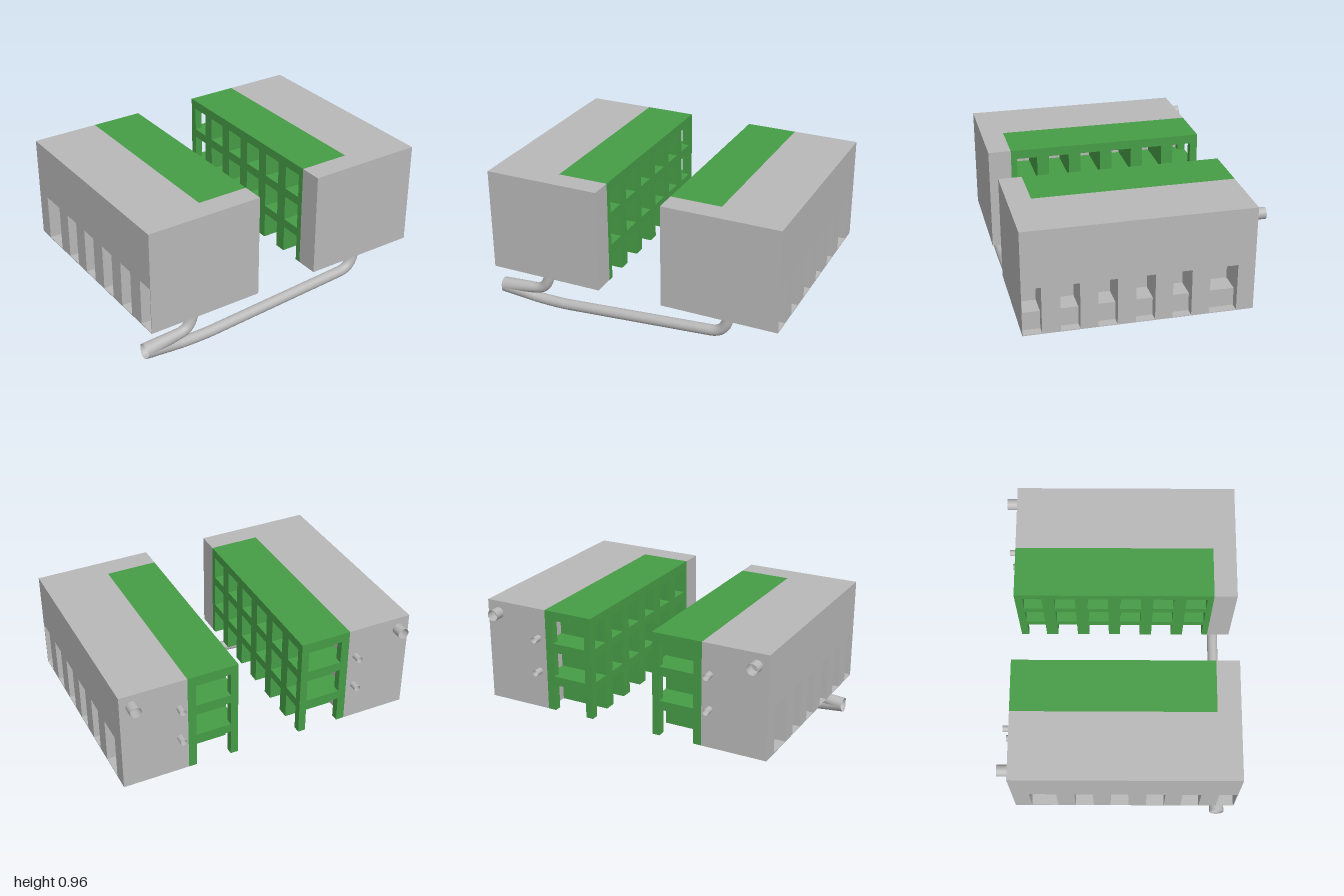
import * as THREE from 'three';

const concrete = new THREE.MeshStandardMaterial({ color: 0xb8b8b8, side: THREE.DoubleSide });
concrete.name = 'concrete grey';
const green = new THREE.MeshStandardMaterial({ color: 0x469c46 });
green.name = 'frame green';

const BASE = 0.27, TOP = 0.96, BACK = -0.69, FRONT = 0.76, INNER = 0.22, WALL = 0.56, SLAB_Z = 0.61;

export function createModel() {
  const model = new THREE.Group();
  model.name = 'twinBlocks';

  for (const side of [-1, 1]) {
    const block = new THREE.Group();
    block.name = side > 0 ? 'leftBlock' : 'rightBlock';
    model.add(block);

    // Box from its limits, with x mirrored for each block
    const box = (name, mat, x0, x1, y0, y1, z0, z1) => {
      const mesh = new THREE.Mesh(new THREE.BoxGeometry(x1 - x0, y1 - y0, z1 - z0), mat);
      mesh.position.set(side * (x0 + x1) / 2, (y0 + y1) / 2, (z0 + z1) / 2);
      mesh.name = name;
      block.add(mesh);
    };

    // Solid grey body and the full-width front slab
    const depth = 0.8, nicheTop = 0.585;
    box('body', concrete, WALL, depth, BASE, TOP, BACK, FRONT);
    box('frontSlab', concrete, INNER, WALL, BASE, TOP, SLAB_Z, FRONT);
    box('upperWall', concrete, depth, 1, nicheTop, TOP, BACK, FRONT);
    box('nicheFloor', concrete, depth, 1, BASE, BASE + 0.005, BACK, FRONT);

    // Outer wall piers leave six tall niches between them
    const niches = [[-0.58, -0.405], [-0.29, -0.17], [-0.06, 0.06], [0.175, 0.295], [0.405, 0.525], [0.64, 0.755]];
    let z = BACK;
    for (const [z0, z1] of niches) {
      box('pier', concrete, depth, 1, BASE, nicheTop, z, z0);
      if (side > 0) box('nicheStep', concrete, depth, 0.94, BASE, 0.395, z0, z1);
      z = z1;
    }
    box('pier', concrete, depth, 1, BASE, nicheTop, z, FRONT);

    // Green open frame: roof and two floors
    for (const [y0, y1] of [[0.45, 0.51], [0.68, 0.74], [0.9, TOP]])
      box('floor', green, INNER, WALL, y0, y1, BACK, SLAB_Z);

    // Cross walls between six bays, with corner posts at the open back end
    const bays = 6, pitch = (SLAB_Z - BACK) / bays;
    for (const [y0, y1] of [[BASE, 0.45], [0.51, 0.68], [0.74, 0.9]]) {
      for (let i = 1; i < bays; i++) {
        const c = BACK + i * pitch;
        box('crossWall', green, INNER, WALL, y0, y1, c - 0.04, c + 0.04);
      }
      box('endWall', green, INNER, WALL, y0, y1, SLAB_Z - 0.04, SLAB_Z);
      box('innerPost', green, INNER, INNER + 0.05, y0, y1, BACK, BACK + 0.05);
      box('outerPost', green, WALL - 0.055, WALL, y0, y1, BACK, BACK + 0.05);
    }

    // Open pipe stubs on the back wall
    for (const [x, y, r, len] of [[0.92, 0.88, 0.037, 0.07], [0.615, 0.76, 0.021, 0.055], [0.615, 0.53, 0.021, 0.055]]) {
      const stub = new THREE.Mesh(new THREE.CylinderGeometry(r, r, len, 20, 1, true), concrete);
      stub.rotation.x = Math.PI / 2;
      stub.position.set(side * x, y, BACK - len / 2);
      stub.name = 'backPipeStub';
      block.add(stub);
    }
  }

  // Drain pipes under the front: straight runs and swept elbows
  const PIPE_Z = 0.66, R = 0.036;
  const pt = (x, y) => new THREE.Vector3(x, y, PIPE_Z);
  const addPipe = (name, geometry) => {
    const mesh = new THREE.Mesh(geometry, concrete);
    mesh.name = name;
    model.add(mesh);
    return mesh;
  };
  const elbow = (a, b, c) =>
    addPipe('pipeElbow', new THREE.TubeGeometry(new THREE.QuadraticBezierCurve3(a, b, c), 14, R, 20));
  const run = (name, a, b, rEnd = R) => {
    const dir = b.clone().sub(a);
    const mesh = addPipe(name, new THREE.CylinderGeometry(rEnd, R, dir.length(), 20, 1, true));
    mesh.position.copy(a).add(b).multiplyScalar(0.5);
    mesh.quaternion.setFromUnitVectors(new THREE.Vector3(0, 1, 0), dir.normalize());
  };

  elbow(pt(0.64, 0.275), pt(0.64, 0.122), pt(0.52, 0.113));
  run('longPipe', pt(0.52, 0.113), pt(-0.5, 0.04));
  elbow(pt(-0.5, 0.04), pt(-0.6, 0.034), pt(-0.75, 0.041));
  elbow(pt(-0.645, 0.275), pt(-0.645, 0.125), pt(-0.75, 0.113));
  // Both pipes flare into one shared outlet
  run('outletLower', pt(-0.75, 0.041), pt(-0.997, 0.08), 0.05);
  run('outletUpper', pt(-0.75, 0.113), pt(-0.997, 0.08), 0.05);

  return model;
}
